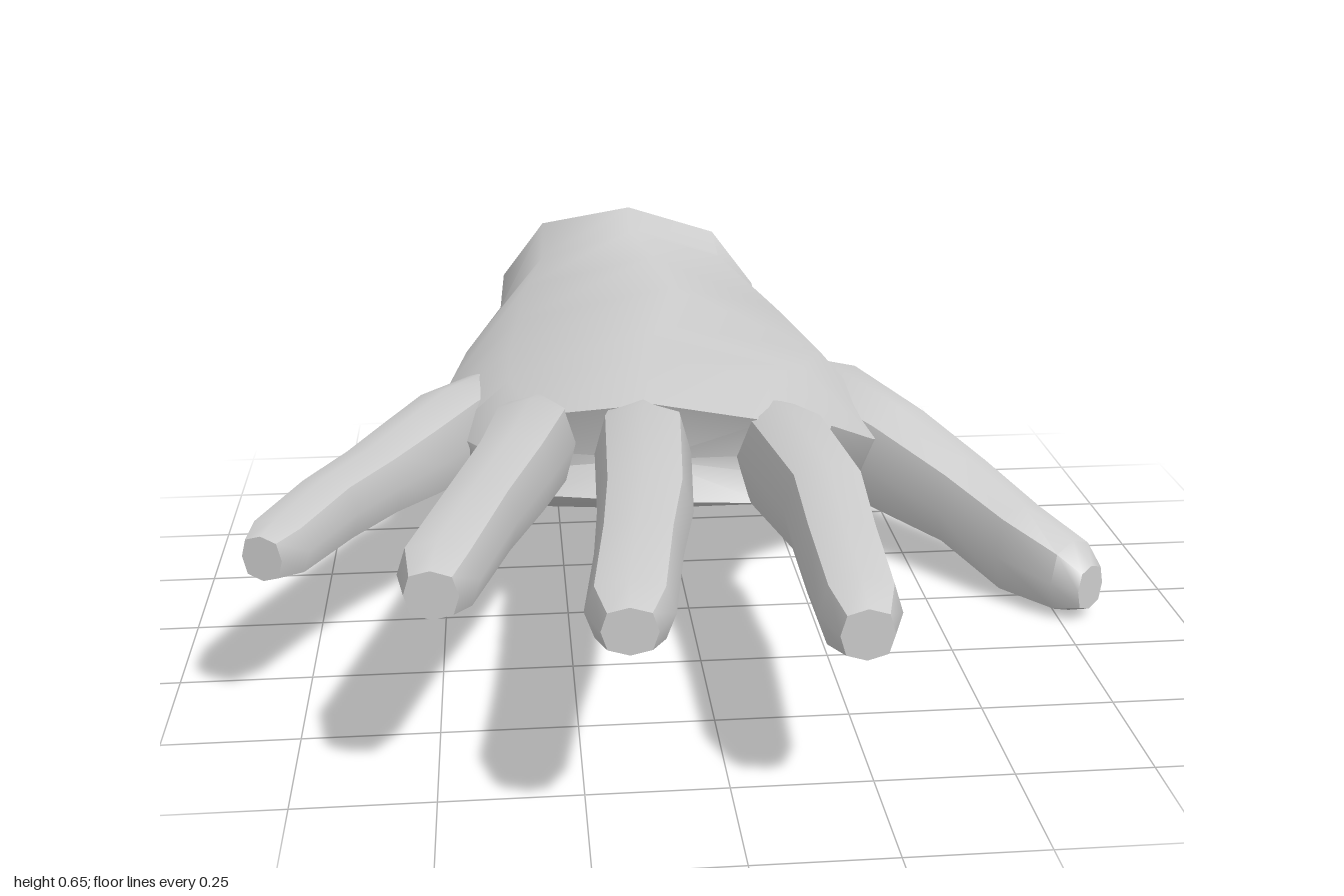
import * as THREE from 'three';
import { toCreasedNormals } from 'three/addons/utils/BufferGeometryUtils.js';

const skin = new THREE.MeshStandardMaterial({ color: 0xcccccc, side: THREE.DoubleSide });
skin.name = 'plain grey';

// Skin a row of equal-sized rings and close the last one with a fan
function loft(name, rings) {
  const n = rings[0].length;
  const points = rings.flat();
  const last = rings[rings.length - 1];
  const tip = last.reduce((sum, p) => sum.add(p), new THREE.Vector3()).divideScalar(n);
  points.push(tip);
  const index = [];
  for (let i = 0; i < rings.length - 1; i++) {
    for (let j = 0; j < n; j++) {
      const a = i * n + j, b = i * n + (j + 1) % n;
      index.push(a, b, b + n, a, b + n, a + n);
    }
  }
  const base = (rings.length - 1) * n;
  for (let j = 0; j < n; j++) index.push(base + j, base + (j + 1) % n, points.length - 1);
  const geometry = new THREE.BufferGeometry().setFromPoints(points);
  geometry.setIndex(index);
  const mesh = new THREE.Mesh(toCreasedNormals(geometry, 0.9), skin);
  mesh.name = name;
  return mesh;
}

// A finger follows stations of [x, y, z, width, height], the first one buried in the palm
function finger(name, stations) {
  const centres = stations.map(([x, y, z]) => new THREE.Vector3(x, y, z));
  const up = new THREE.Vector3(0, 1, 0);
  const boxy = v => Math.sign(v) * Math.abs(v) ** 0.75;
  const rings = stations.map(([, , , w, h], i) => {
    const next = centres[Math.min(i + 1, centres.length - 1)];
    const along = next.clone().sub(centres[Math.max(i - 1, 0)]).setY(0).normalize();
    const side = new THREE.Vector3().crossVectors(up, along);
    return Array.from({ length: 8 }, (_, j) => {
      const a = j * Math.PI / 4;
      return centres[i].clone()
        .addScaledVector(side, boxy(Math.cos(a)) * w / 2)
        .addScaledVector(up, boxy(Math.sin(a)) * h / 2);
    });
  });
  return loft(name, rings);
}

// Palm sections from wrist to knuckles: x and z of both edges, forward bulge,
// slant, then heights from -x to +x along the top, the edges and the bottom
const palmSections = [
  { x: [-0.36, 0.24], z: [-0.96, -0.90], bulge: 0, slant: 0.05, top: [0.61, 0.65, 0.59], edge: [0.47, 0.45], bottom: [0.32, 0.235, 0.30] },
  { x: [-0.37, 0.25], z: [-0.81, -0.82], bulge: 0, slant: 0.03, top: [0.555, 0.615, 0.55], edge: [0.43, 0.38], bottom: [0.26, 0.18, 0.19] },
  { x: [-0.45, 0.41], z: [-0.62, -0.64], bulge: 0, slant: 0, top: [0.53, 0.59, 0.46], edge: [0.38, 0.27], bottom: [0.19, 0.17, 0.085] },
  { x: [-0.49, 0.50], z: [-0.42, -0.42], bulge: 0, slant: 0, top: [0.51, 0.575, 0.42], edge: [0.36, 0.22], bottom: [0.16, 0.17, 0.07] },
  { x: [-0.50, 0.42], z: [-0.26, -0.22], bulge: 0.02, slant: 0, top: [0.495, 0.55, 0.45], edge: [0.36, 0.28], bottom: [0.165, 0.19, 0.12] },
  { x: [-0.48, 0.30], z: [-0.12, -0.06], bulge: 0.05, slant: 0, top: [0.48, 0.53, 0.49], edge: [0.36, 0.37], bottom: [0.21, 0.21, 0.21] },
  { x: [-0.42, 0.255], z: [0.0, 0.13], bulge: 0.09, slant: 0, top: [0.455, 0.50, 0.46], edge: [0.37, 0.38], bottom: [0.29, 0.30, 0.29] },
];

function palm() {
  const rings = palmSections.map(({ x, z, bulge, slant, top, edge, bottom }) => {
    const point = (t, y, lean) => new THREE.Vector3(
      THREE.MathUtils.lerp(x[0], x[1], t), y,
      THREE.MathUtils.lerp(z[0], z[1], t) + bulge * 4 * t * (1 - t) + lean * slant);
    return [
      point(1, edge[1], 0),
      point(0.83, top[2], 1), point(0.5, top[1], 1.1), point(0.16, top[0], 1),
      point(0, edge[0], 0),
      point(0.03, edge[0] * 0.4 + bottom[0] * 0.6, -0.6),
      point(0.17, bottom[0], -0.9), point(0.5, bottom[1], -0.9), point(0.83, bottom[2], -0.9),
      point(0.96, edge[1] * 0.45 + bottom[2] * 0.55, -0.5),
    ];
  });
  return loft('palm and wrist', rings);
}

export function createModel() {
  const hand = new THREE.Group();
  hand.name = 'hand';
  hand.add(
    palm(),
    finger('little finger', [
      [-0.38, 0.35, -0.34, 0.12, 0.16], [-0.48, 0.35, -0.14, 0.165, 0.20],
      [-0.555, 0.35, 0.0, 0.155, 0.17], [-0.625, 0.345, 0.11, 0.14, 0.14],
      [-0.70, 0.345, 0.25, 0.13, 0.13], [-0.775, 0.335, 0.40, 0.125, 0.11],
      [-0.80, 0.335, 0.455, 0.08, 0.085]]),
    finger('ring finger', [
      [-0.27, 0.38, -0.16, 0.12, 0.12], [-0.315, 0.40, 0.08, 0.17, 0.19],
      [-0.355, 0.41, 0.28, 0.15, 0.17], [-0.415, 0.415, 0.50, 0.14, 0.145],
      [-0.48, 0.415, 0.75, 0.14, 0.125], [-0.49, 0.415, 0.825, 0.09, 0.085]]),
    finger('middle finger', [
      [-0.08, 0.40, -0.08, 0.14, 0.13], [-0.105, 0.41, 0.18, 0.185, 0.20],
      [-0.125, 0.42, 0.51, 0.17, 0.165], [-0.15, 0.42, 0.70, 0.15, 0.14],
      [-0.18, 0.42, 0.93, 0.145, 0.115], [-0.185, 0.42, 1.0, 0.09, 0.08]]),
    finger('index finger', [
      [0.14, 0.37, -0.10, 0.14, 0.13], [0.175, 0.375, 0.14, 0.18, 0.22],
      [0.21, 0.38, 0.43, 0.16, 0.185], [0.205, 0.365, 0.62, 0.15, 0.16],
      [0.20, 0.36, 0.84, 0.14, 0.135], [0.20, 0.355, 0.91, 0.09, 0.09]]),
    finger('thumb', [
      [0.29, 0.25, -0.58, 0.18, 0.18], [0.36, 0.24, -0.49, 0.24, 0.27],
      [0.49, 0.205, -0.30, 0.21, 0.24], [0.61, 0.155, -0.16, 0.175, 0.195],
      [0.70, 0.10, -0.02, 0.15, 0.20], [0.78, 0.08, 0.09, 0.13, 0.155],
      [0.81, 0.07, 0.13, 0.08, 0.095]]),
  );
  return hand;
}
